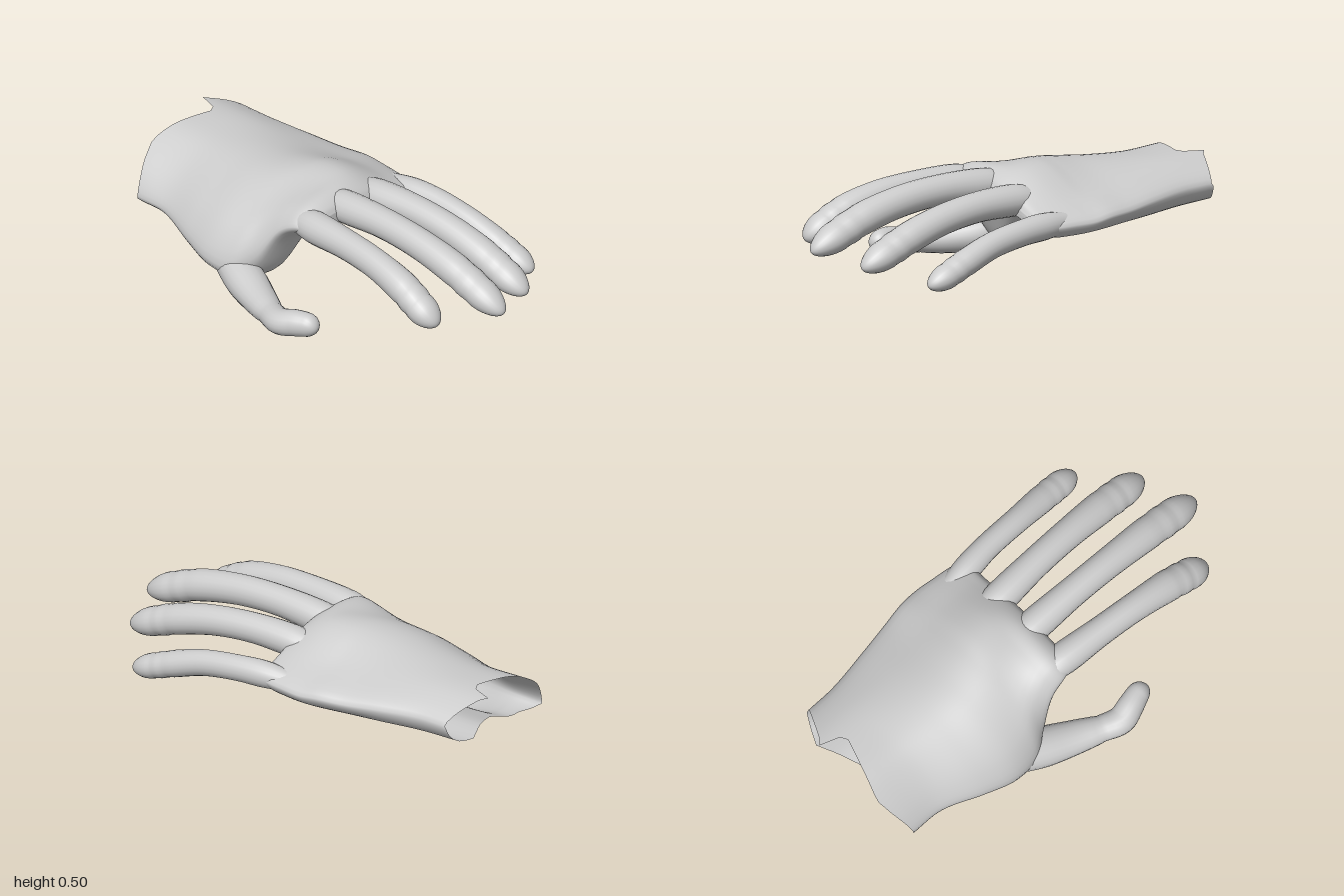
import * as THREE from 'three';

const V = (x, y, z) => new THREE.Vector3(x, y, z);

// Joins a list of closed rings of points into one smooth skin, closed at the last ring.
function skin(rings) {
  const n = rings[0].length, pos = [], index = [];
  rings.forEach(r => r.forEach(p => pos.push(p.x, p.y, p.z)));
  for (let i = 0; i < rings.length - 1; i++) {
    for (let j = 0; j < n; j++) {
      const a = i * n + j, b = i * n + (j + 1) % n;
      index.push(a, a + n, b, b, a + n, b + n);
    }
  }
  const last = rings[rings.length - 1], c = V(0, 0, 0);
  last.forEach(p => c.addScaledVector(p, 1 / n));
  pos.push(c.x, c.y, c.z);
  const s = (rings.length - 1) * n;
  for (let j = 0; j < n; j++) index.push(s + j, s + n, s + (j + 1) % n);
  const g = new THREE.BufferGeometry();
  g.setAttribute('position', new THREE.Float32BufferAttribute(pos, 3));
  g.setIndex(index);
  g.computeVertexNormals();
  return g;
}

// Sweeps an oval along a path. Each stop is [x, y, z, half width, half height].
function digit(stops, creases) {
  const path = new THREE.CatmullRomCurve3(stops.map(s => V(s[0], s[1], s[2])));
  const size = new THREE.CatmullRomCurve3(stops.map(s => V(s[3], s[4], 0)), false, 'catmullrom', 0.5);
  const rings = [], steps = 44, sides = 20;
  for (let i = 0; i <= steps; i++) {
    // stations gather towards the rounded tip
    const u = Math.sin((i / steps) * Math.PI / 2);
    const p = path.getPoint(u), t = path.getTangent(u), r = size.getPoint(u);
    const side = V(0, 1, 0).cross(t).normalize(), up = t.clone().cross(side);
    let k = 1;
    creases.forEach(c => { k -= 0.05 * Math.exp(-(((u - c) / 0.018) ** 2)); });
    const tip = Math.max(0, (u - 0.86) / 0.14);
    k *= Math.sqrt(Math.max(0.002, 1 - tip ** 2.1));
    const ring = [];
    for (let j = 0; j < sides; j++) {
      const a = (j / sides) * Math.PI * 2;
      ring.push(p.clone().addScaledVector(side, -Math.cos(a) * r.x * k).addScaledVector(up, Math.sin(a) * r.y * k));
    }
    rings.push(ring);
  }
  return skin(rings);
}

// Straight-line reading of a list of [x, value] pairs.
function readOff(pairs, x) {
  const i = Math.max(1, pairs.findIndex((p, k) => k > 0 && (p[0] >= x || k === pairs.length - 1)));
  const [x0, v0] = pairs[i - 1], [x1, v1] = pairs[i];
  return THREE.MathUtils.mapLinear(THREE.MathUtils.clamp(x, x0, x1), x0, x1, v0, v1);
}

// Palm and wrist: lofted from sections [z, left x, left y, right x, right y, 4 top heights, 4 bottom heights]
function palm() {
  const sections = [
    [-0.91, -0.28, 0.18, 0.40, 0.34, 0.29, 0.415, 0.44, 0.425, 0.26, 0.26, 0.2, 0.155],
    [-0.75, -0.285, 0.18, 0.405, 0.34, 0.28, 0.41, 0.44, 0.425, 0.255, 0.26, 0.2, 0.14],
    [-0.55, -0.35, 0.15, 0.44, 0.33, 0.28, 0.42, 0.452, 0.415, 0.25, 0.26, 0.185, 0.075],
    [-0.40, -0.385, 0.12, 0.47, 0.32, 0.285, 0.44, 0.467, 0.405, 0.25, 0.265, 0.185, 0.05],
    [-0.27, -0.37, 0.11, 0.495, 0.32, 0.305, 0.462, 0.487, 0.40, 0.25, 0.275, 0.19, 0.045],
    [-0.18, -0.31, 0.17, 0.50, 0.31, 0.37, 0.48, 0.497, 0.397, 0.25, 0.285, 0.23, 0.09],
    [-0.08, -0.265, 0.34, 0.49, 0.31, 0.435, 0.487, 0.492, 0.395, 0.25, 0.295, 0.31, 0.275],
    [0.0, -0.252, 0.39, 0.48, 0.31, 0.455, 0.485, 0.47, 0.385, 0.255, 0.315, 0.345, 0.33],
    [0.05, -0.235, 0.39, 0.465, 0.31, 0.435, 0.455, 0.44, 0.37, 0.275, 0.33, 0.365, 0.35],
    [0.07, -0.20, 0.39, 0.44, 0.31, 0.41, 0.425, 0.41, 0.345, 0.295, 0.35, 0.385, 0.375]
  ];
  const topAt = [0.08, 0.33, 0.54, 0.8], bottomAt = [0.93, 0.65, 0.38, 0.18], sides = 56, steps = 60;
  const keys = sections.map(([z, xl, yl, xr, yr, ...h]) => {
    const x = k => xl + (xr - xl) * k;
    const top = topAt.map((k, i) => V(x(k), h[i], z));
    const bottom = bottomAt.map((k, i) => V(x(k), h[4 + i], z));
    return new THREE.CatmullRomCurve3([V(xl, yl, z), ...top, V(xr, yr, z), ...bottom], true);
  });
  const lines = [];
  for (let j = 0; j < sides; j++) {
    lines.push(new THREE.CatmullRomCurve3(keys.map(c => c.getPoint(j / sides))));
  }
  const rings = [];
  for (let i = 0; i <= steps; i++) rings.push(lines.map(l => l.getPoint(i / steps)));
  // ragged cut at the wrist, with one sharp tooth on the top edge
  const topRim = [[-0.28, -0.91], [-0.2, -0.95], [-0.12, -0.975], [0, -0.94], [0.18, -0.885], [0.22, -0.99], [0.4, -0.9]];
  const bottomRim = [[-0.28, -0.9], [-0.2, -0.85], [0, -0.84], [0.13, -0.9], [0.28, -0.965], [0.4, -0.91]];
  let tooth = rings[0][0];
  rings[0].forEach((p, j) => {
    const onTop = j <= sides / 2;
    p.z = readOff(onTop ? topRim : bottomRim, p.x);
    if (onTop && Math.abs(p.x - 0.22) < Math.abs(tooth.x - 0.22)) tooth = p;
  });
  tooth.z = -1;
  // rings just behind the cut follow it, so that none crosses the rim
  for (let i = 1; i < 7; i++) rings[i].forEach((p, j) => { p.z = THREE.MathUtils.lerp(rings[0][j].z, rings[7][j].z, i / 7); });
  return skin(rings);
}

export function createModel() {
  const hand = new THREE.Group();
  hand.name = 'hand';
  const material = new THREE.MeshStandardMaterial({ color: 0xcccccc, side: THREE.DoubleSide });
  const add = (name, geometry) => {
    const mesh = new THREE.Mesh(geometry, material);
    mesh.name = name;
    hand.add(mesh);
  };

  add('palmAndWrist', palm());

  // Fingers, from knuckle to tip
  add('indexFinger', digit([
    [-0.165, 0.39, -0.07, 0.055, 0.045], [-0.18, 0.394, 0.05, 0.072, 0.071], [-0.198, 0.4, 0.26, 0.064, 0.067],
    [-0.213, 0.386, 0.46, 0.064, 0.067], [-0.225, 0.345, 0.63, 0.071, 0.07],
    [-0.233, 0.295, 0.74, 0.071, 0.066], [-0.237, 0.248, 0.84, 0.06, 0.05]], [0.71, 0.8]));
  add('middleFinger', digit([
    [0.012, 0.405, -0.07, 0.06, 0.05], [0.011, 0.415, 0.05, 0.074, 0.072], [0.008, 0.429, 0.28, 0.067, 0.068],
    [0.006, 0.416, 0.5, 0.067, 0.069], [0.006, 0.375, 0.71, 0.073, 0.071],
    [0.008, 0.322, 0.86, 0.074, 0.068], [0.01, 0.268, 1.0, 0.06, 0.05]], [0.72, 0.81]));
  add('ringFinger', digit([
    [0.21, 0.375, -0.07, 0.06, 0.05], [0.213, 0.386, 0.05, 0.073, 0.07], [0.225, 0.392, 0.26, 0.067, 0.067],
    [0.235, 0.37, 0.47, 0.067, 0.067], [0.242, 0.325, 0.65, 0.072, 0.069],
    [0.246, 0.277, 0.78, 0.072, 0.066], [0.248, 0.228, 0.91, 0.06, 0.05]], [0.72, 0.81]));
  add('littleFinger', digit([
    [0.415, 0.31, -0.07, 0.045, 0.045], [0.427, 0.313, 0.05, 0.059, 0.059], [0.442, 0.31, 0.18, 0.056, 0.058],
    [0.452, 0.285, 0.36, 0.056, 0.058], [0.464, 0.24, 0.51, 0.061, 0.059],
    [0.472, 0.2, 0.62, 0.062, 0.056], [0.476, 0.165, 0.725, 0.052, 0.044]], [0.72, 0.81]));

  // Thumb, bending inwards at the last joint
  add('thumb', digit([
    [-0.285, 0.12, -0.36, 0.075, 0.075], [-0.337, 0.085, -0.21, 0.09, 0.08], [-0.395, 0.07, -0.07, 0.077, 0.066],
    [-0.446, 0.07, 0.05, 0.061, 0.055], [-0.473, 0.078, 0.13, 0.063, 0.057],
    [-0.457, 0.093, 0.2, 0.058, 0.059], [-0.44, 0.1, 0.26, 0.051, 0.054], [-0.438, 0.1, 0.315, 0.044, 0.045]], [0.42]));

  return hand;
}
